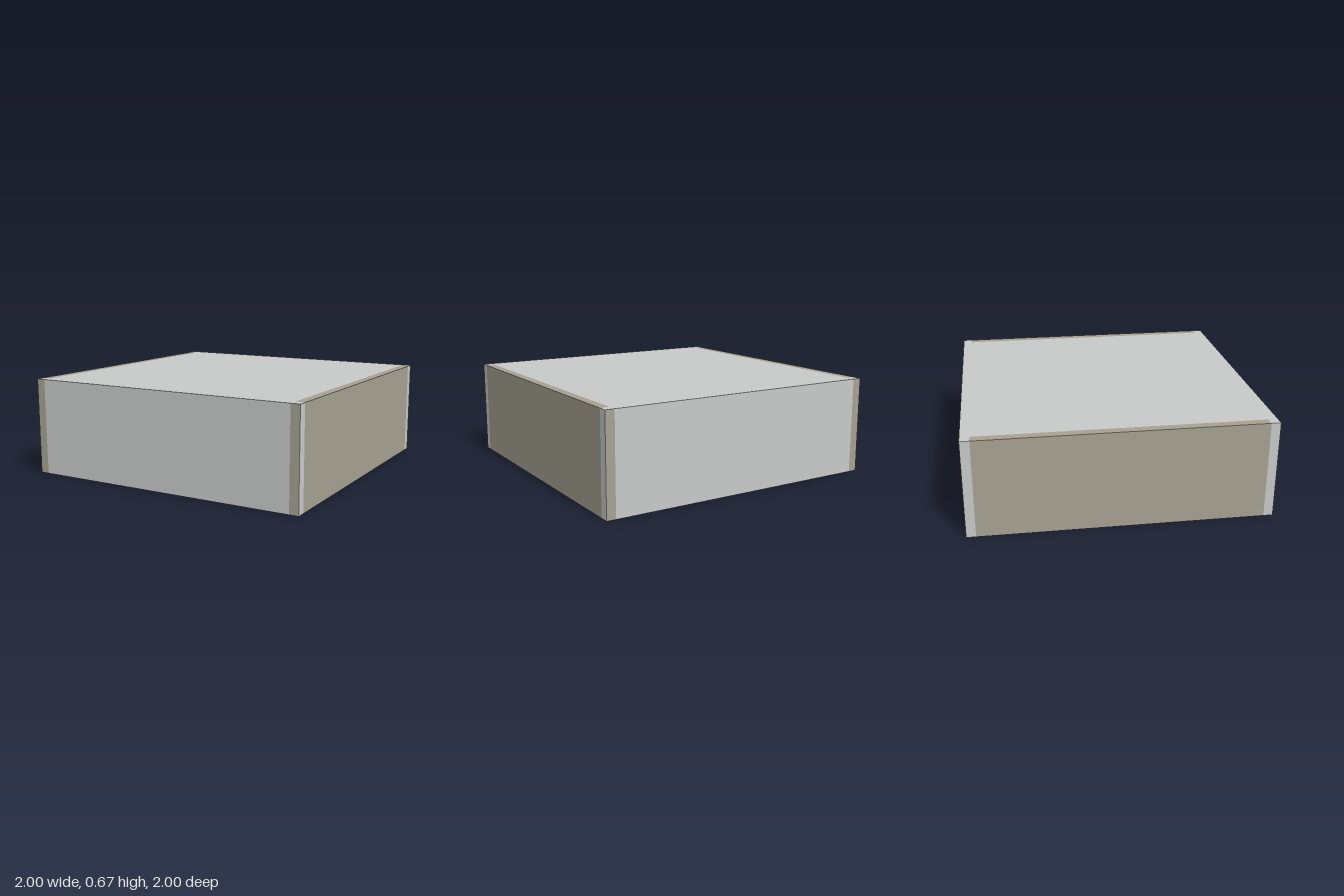
import * as THREE from 'three';
import { mergeGeometries } from 'three/addons/utils/BufferGeometryUtils.js';

export function createModel() {
  const model = new THREE.Group();
  const mat = (name, color) => {
    const m = new THREE.MeshStandardMaterial({ color });
    m.name = name;
    return m;
  };
  const grey = mat('light grey', 0xc8cac9);
  const khaki = mat('khaki', 0xa6a192);
  const black = mat('black', 0x222222);

  const height = 0.667, edge = 0.0625, inner = 1 - edge, lift = 0.003;
  const h = height - lift, cy = lift + h / 2;

  // Material order: +x, -x, +y, -y, +z, -z
  function block(name, w, d, x, z, materials) {
    const mesh = new THREE.Mesh(new THREE.BoxGeometry(w, h, d), materials);
    mesh.position.set(x, cy, z);
    mesh.name = name;
    model.add(mesh);
  }

  // Main body with grey front, back and top and a khaki underside
  block('body', 2 * inner, 2, 0, 0, [grey, grey, grey, khaki, grey, grey]);

  for (const s of [-1, 1]) {
    // Khaki side panels between the corners
    block('sidePanel', edge, 2 * inner, s * (1 - edge / 2), 0, khaki);
    // Corner posts: khaki to front and back, grey to the sides and top
    for (const t of [-1, 1]) {
      block('cornerPost', edge, edge, s * (1 - edge / 2), t * (1 - edge / 2),
        [grey, grey, grey, khaki, khaki, khaki]);
    }
  }

  // Black pattern under the base: round spots joined by necks along one diagonal
  const pitch = inner / 6, r = 0.055, neck = 0.022;
  const pieces = [];
  for (let i = -6; i <= 6; i++) {
    for (let j = -6; j <= 6; j++) {
      const x = i * pitch, z = j * pitch;
      pieces.push(new THREE.CircleGeometry(r, 12).rotateX(Math.PI / 2).translate(x, 0, z));
      if (i < 6 && j > -6) {
        pieces.push(new THREE.PlaneGeometry(pitch * Math.SQRT2 - 1.9 * r, 2 * neck)
          .rotateX(Math.PI / 2).rotateY(Math.PI / 4)
          .translate(x + pitch / 2, 0, z - pitch / 2));
      }
    }
  }
  const pattern = new THREE.Mesh(mergeGeometries(pieces), black);
  pattern.name = 'basePattern';
  model.add(pattern);

  return model;
}
